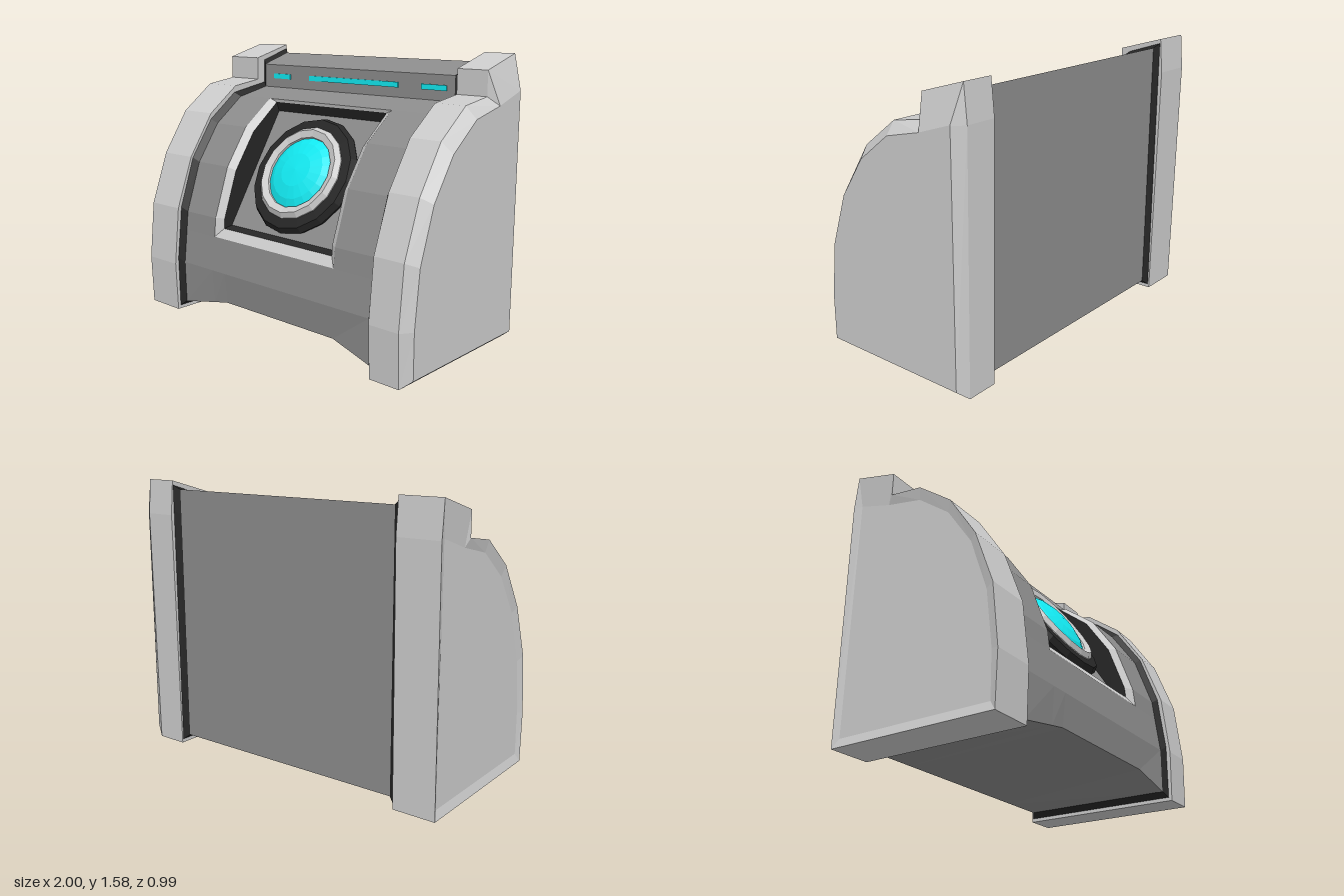
import * as THREE from 'three';

const mat = (color) => new THREE.MeshStandardMaterial({ color, flatShading: true, side: THREE.DoubleSide });
const light = mat(0xcccccc), grey = mat(0x8c8c8c), dark = mat(0x262626), glow = mat(0x12e8f0);

// Profiles are [z, y], running up the front, over the top and down the back.
const FRAME = [[0.485, 0], [0.495, 0.29], [0.46, 0.63], [0.35, 0.93], [0.185, 1.18], [-0.02, 1.335],
  [-0.215, 1.365], [-0.215, 1.5], [-0.475, 1.575], [-0.493, 1.38], [-0.48, 0]];
const CAP = [[0.45, 0.05], [0.45, 0.3], [0.415, 0.61], [0.315, 0.9], [0.165, 1.12], [-0.03, 1.27],
  [-0.245, 1.32], [-0.245, 1.32], [-0.445, 1.385], [-0.445, 1.38], [-0.445, 0.05]];
// Body profile; points 2 to 7 border the window.
const BODY = [[0.445, 0.05], [0.45, 0.3], [0.427, 0.5], [0.415, 0.61], [0.315, 0.9], [0.165, 1.12], [-0.03, 1.27],
  [-0.045, 1.273], [-0.25, 1.32], [-0.25, 1.46], [-0.45, 1.525], [-0.45, 1.38], [-0.45, 0.05]];
const WINDOW_X = 0.465;

const at = (profile, x) => profile.map(([z, y]) => [x, y, z]);

// Skin over rows of points.
function loft(rows, closed) {
  const n = rows[0].length, index = [];
  for (let r = 0; r < rows.length - 1; r++) {
    for (let c = 0; c < (closed ? n : n - 1); c++) {
      const d = (c + 1) % n;
      const a = r * n + c, b = (r + 1) * n + c, e = (r + 1) * n + d, f = r * n + d;
      index.push(a, b, e, a, e, f);
    }
  }
  const g = new THREE.BufferGeometry();
  g.setAttribute('position', new THREE.Float32BufferAttribute(rows.flat(2), 3));
  g.setIndex(index);
  g.computeVertexNormals();
  return g;
}

// Flat end plate of a profile, facing +x or -x.
function plate(profile, x, facing) {
  const shape = new THREE.Shape(profile.map(([z, y]) => new THREE.Vector2(-z * facing, y)));
  return new THREE.ShapeGeometry(shape).rotateY(facing * Math.PI / 2).translate(x, 0, 0);
}

function add(parent, name, geometry, material) {
  const m = new THREE.Mesh(geometry, material);
  m.name = name;
  parent.add(m);
  return m;
}

// Body section with its front lower edge raised in the middle.
function bodyRow(x, lift) {
  const row = at(BODY, x);
  row[0][1] += lift;
  row[0][2] -= lift * 0.2;
  return row;
}

// Ring of points around the window: up the left edge, down the right edge.
const windowRing = (curve, x) => [...at(curve, -x), ...at(curve, x).reverse()];

export function createModel() {
  const model = new THREE.Group();
  model.name = 'console';

  // End frames: the left one has a shallow recessed end, the right one a bevelled end
  add(model, 'rightFrame', loft([at(CAP, -0.985), at(FRAME, -1), at(FRAME, -0.755)], true), light);
  add(model, 'rightFrameEnd', plate(CAP, -0.985, -1), light);
  add(model, 'rightFrameInside', plate(FRAME, -0.755, 1), light);
  add(model, 'leftFrame', loft([at(FRAME, 0.755), at(FRAME, 0.94), at(CAP, 1)], true), light);
  add(model, 'leftFrameEnd', plate(CAP, 1, 1), light);
  add(model, 'leftFrameInside', plate(FRAME, 0.755, -1), light);

  // Body: two closed sides and a middle that leaves the window open
  const left = [bodyRow(-0.72, 0), bodyRow(-WINDOW_X, 0.05)];
  const right = [bodyRow(WINDOW_X, 0.07), bodyRow(0.72, 0)];
  const middle = [left[1], bodyRow(-0.36, 0.07), right[0]].map((r) => [...r.slice(7), ...r.slice(0, 3)]);
  add(model, 'bodySide', loft(left, true), grey);
  add(model, 'bodySide', loft(right, true), grey);
  add(model, 'bodyMiddle', loft(middle, false), grey);

  // Dark flared joints between body and frames
  const flare = BODY.map(([z, y]) => [z + Math.sign(z + 0.1) * 0.022, y < 0.1 ? y - 0.03 : y + 0.025]);
  add(model, 'joint', loft([at(flare, -0.756), at(BODY, -0.72)], true), dark);
  add(model, 'joint', loft([at(BODY, 0.72), at(flare, 0.756)], true), dark);

  // Window: light bevel, dark walls and a sloping panel
  const outer = BODY.slice(2, 8);
  const inner = [[0.39, 0.55], [0.385, 0.61], [0.29, 0.88], [0.145, 1.095], [-0.04, 1.245], [-0.05, 1.255]];
  const floor = [0, 0.08, 0.46, 0.78, 0.98, 1].map((t) => [0.33 - 0.4 * t, 0.56 + 0.64 * t]);
  const rimRing = windowRing(inner, 0.42), floorRing = windowRing(floor, 0.42);
  add(model, 'windowBevel', loft([windowRing(outer, WINDOW_X), rimRing], true), light);
  add(model, 'windowWalls', loft([rimRing, floorRing], true), dark);
  add(model, 'windowPanel', loft([at(floor, -0.42), at(floor, 0.42)], false), grey);

  // Round lens standing on the panel
  const lens = new THREE.Group();
  lens.name = 'lens';
  lens.position.set(0, 0.875, 0.135);
  lens.rotation.x = THREE.MathUtils.degToRad(58);
  model.add(lens);
  const lathe = (name, pts, sides, material) =>
    add(lens, name, new THREE.LatheGeometry(pts.map(([r, h]) => new THREE.Vector2(r, h)), sides), material);
  lathe('lensOuterRing', [[0.34, -0.01], [0.355, 0.02], [0.335, 0.055], [0.28, 0.06], [0.275, 0.02]], 16, dark);
  lathe('lensInnerRing', [[0.285, 0.02], [0.28, 0.065], [0.255, 0.09], [0.215, 0.075], [0.21, 0.04]], 16, light);
  lathe('lensDome', [[0.216, 0.06], [0.17, 0.085], [0.1, 0.103], [0, 0.11]], 20, glow);

  // Light strips on the upper ledge
  for (const [x, w] of [[-0.567, 0.145], [0.005, 0.68], [0.588, 0.165]]) {
    add(model, 'lightStrip', new THREE.BoxGeometry(w, 0.03, 0.01), glow).position.set(x, 1.39, -0.248);
  }
  return model;
}
